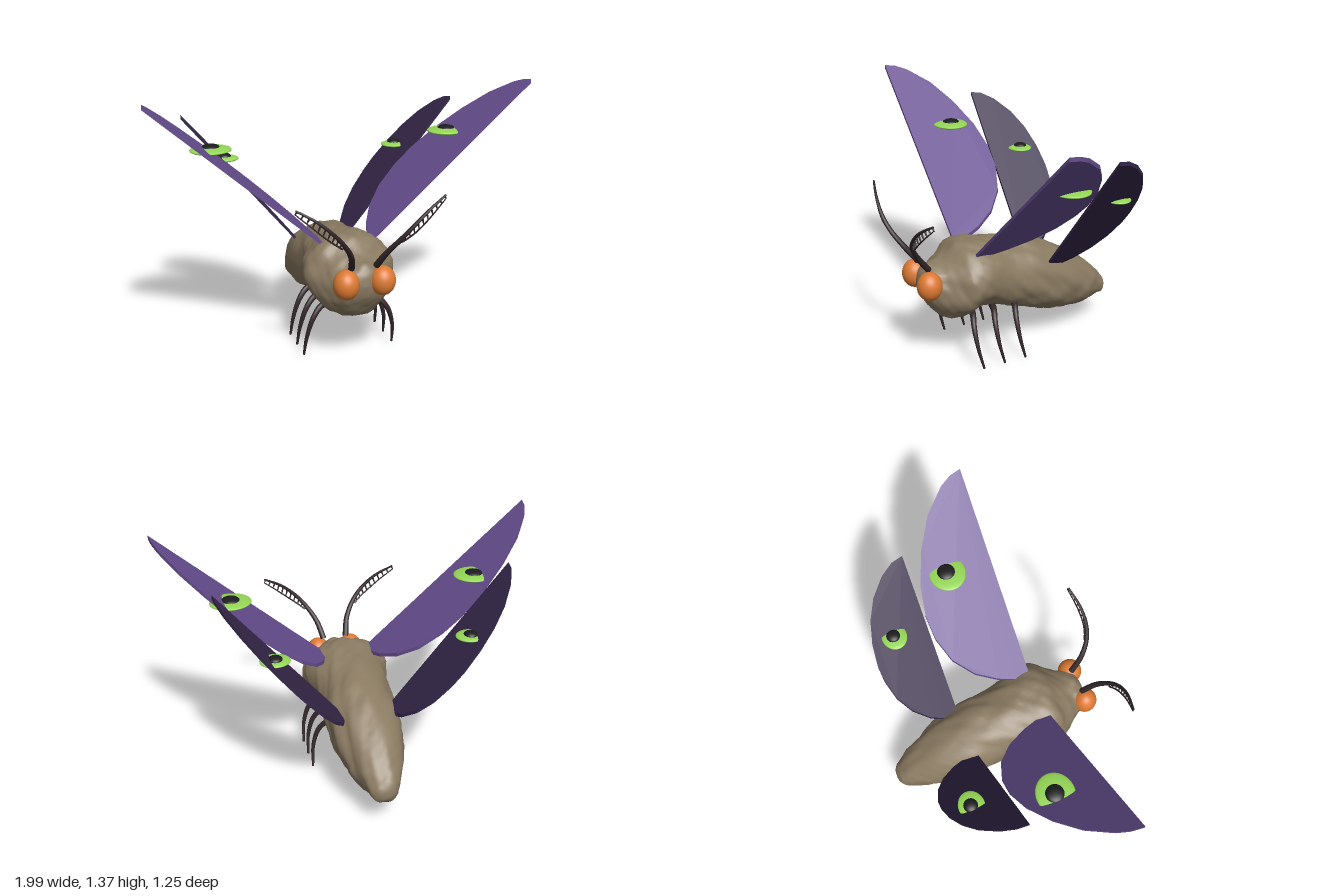
import * as THREE from 'three';

const mat = (name, color, side = THREE.FrontSide) => {
  const m = new THREE.MeshStandardMaterial({ color, side });
  m.name = name;
  return m;
};

// body stations from nose to tail: z, top y, bottom y, half width
const BODY = [
  [0.515, 0.45, 0.45, 0], [0.5, 0.51, 0.38, 0.07], [0.465, 0.545, 0.32, 0.115],
  [0.41, 0.555, 0.255, 0.15], [0.35, 0.59, 0.235, 0.195], [0.29, 0.635, 0.25, 0.235],
  [0.22, 0.645, 0.275, 0.235], [0.12, 0.63, 0.265, 0.205], [0, 0.61, 0.215, 0.195],
  [-0.15, 0.575, 0.165, 0.195], [-0.3, 0.505, 0.137, 0.18], [-0.43, 0.43, 0.13, 0.14],
  [-0.53, 0.35, 0.135, 0.1], [-0.59, 0.285, 0.155, 0.07], [-0.615, 0.245, 0.185, 0.04], [-0.622, 0.21, 0.21, 0],
];

// wing outlines as [x, z] pairs and the slope of the wing plane
const WINGS = [
  { name: 'foreWing', y0: 0.6, slope: 0.886,
    outline: [[0.14, 0.25], [0.13, 0.17], [0.16, 0.08], [0.22, -0.03], [0.31, -0.12], [0.42, -0.165],
      [0.52, -0.17], [0.64, -0.14], [0.77, -0.07], [0.88, 0.02], [0.96, 0.13], [0.985, 0.19], [0.995, 0.25]],
    spot: [0.64, 1.072, 0.01], spotSize: [0.105, 0.016, 0.095], pupil: 0.047 },
  { name: 'hindWing', y0: 0.465, slope: 1.21,
    outline: [[0.14, -0.18], [0.13, -0.26], [0.155, -0.33], [0.21, -0.41], [0.28, -0.465], [0.36, -0.492],
      [0.42, -0.495], [0.5, -0.48], [0.58, -0.445], [0.65, -0.39], [0.71, -0.31], [0.74, -0.24], [0.748, -0.18]],
    spot: [0.492, 0.918, -0.36], spotSize: [0.075, 0.014, 0.066], pupil: 0.036 },
];

// lumpy furry surface offset
function bump(x, y, z) {
  return 0.0035 * (Math.sin(31 * x + 17 * z + 2 * Math.sin(23 * y)) + Math.sin(37 * y - 29 * z + 2 * Math.sin(27 * x)))
    + 0.002 * Math.sin(71 * x + 1) * Math.sin(67 * y) * Math.sin(73 * z + 2) * 2;
}

function bodyGeometry(rings = 80, sides = 56) {
  const spline = new THREE.CatmullRomCurve3(BODY.map(([, t, b, w]) => new THREE.Vector3(w, t, b)), false, 'catmullrom', 0.5);
  const along = new THREE.CatmullRomCurve3(BODY.map(([z]) => new THREE.Vector3(0, 0, z)), false, 'catmullrom', 0.5);
  const pos = [], idx = [];
  for (let i = 0; i <= rings; i++) {
    const s = spline.getPoint(i / rings), z = along.getPoint(i / rings).z;
    const cy = (s.y + s.z) / 2, h = Math.abs(s.y - s.z) / 2, w = Math.max(s.x, 0);
    for (let j = 0; j < sides; j++) {
      const a = (j / sides) * Math.PI * 2, c = Math.cos(a), n = Math.sin(a);
      const x = w * c, y = cy + h * n;
      const d = bump(x, y, z) * Math.min(1, w / 0.06);
      pos.push(x + d * c, y + d * n, z);
      if (i < rings) {
        const k = (j + 1) % sides, p = i * sides, q = p + sides;
        idx.push(p + j, q + j, p + k, p + k, q + j, q + k);
      }
    }
  }
  const g = new THREE.BufferGeometry();
  g.setAttribute('position', new THREE.Float32BufferAttribute(pos, 3));
  g.setIndex(idx);
  g.computeVertexNormals();
  return g;
}

// tube narrowing from r0 to r1
function taperedTube(curve, r0, r1, segs = 24, sides = 10) {
  const g = new THREE.TubeGeometry(curve, segs, 1, sides);
  const p = g.attributes.position, v = new THREE.Vector3();
  for (let i = 0; i < p.count; i++) {
    const t = Math.floor(i / (sides + 1)) / segs, c = curve.getPointAt(t);
    v.fromBufferAttribute(p, i).sub(c).multiplyScalar(r0 + (r1 - r0) * t).add(c);
    p.setXYZ(i, v.x, v.y, v.z);
  }
  return g;
}

// half-disc plate, laid flat and then sheared upwards with distance from the middle
function wingGeometry({ outline, y0, slope }, side) {
  const thick = 0.02;
  const shape = new THREE.Shape(outline.map(([x, z]) => new THREE.Vector2(side * x, -z)));
  const g = new THREE.ExtrudeGeometry(shape, { depth: thick, bevelEnabled: false });
  g.rotateX(-Math.PI / 2);
  const p = g.attributes.position;
  for (let i = 0; i < p.count; i++) {
    p.setY(i, p.getY(i) - thick / 2 + y0 + (Math.abs(p.getX(i)) - 0.14) * slope);
  }
  g.computeVertexNormals();
  return g;
}

export function createModel() {
  const model = new THREE.Group();
  const fur = mat('brown fur', 0x8b7b62);
  const violet = mat('violet wing', 0x684f91);
  const plum = mat('dark plum wing', 0x35274a);
  const green = mat('green spot', 0x94d655);
  const black = mat('black pupil', 0x1c1c1e);
  const orange = mat('orange eye', 0xdd7a33);
  const dark = mat('dark brown limb', 0x33272a, THREE.DoubleSide);

  const add = (parent, name, geo, material) => {
    const m = new THREE.Mesh(geo, material);
    m.name = name;
    parent.add(m);
    return m;
  };
  const ball = new THREE.SphereGeometry(1, 32, 20);
  const ellipsoid = (parent, name, at, size, material) => {
    const m = add(parent, name, ball, material);
    m.position.set(...at);
    m.scale.set(...size);
  };

  add(model, 'body', bodyGeometry(), fur);

  for (const side of [1, -1]) {
    const label = side > 0 ? 'left' : 'right';
    const V = (x, y, z) => new THREE.Vector3(side * x, y, z);

    ellipsoid(model, label + 'Eye', [side * 0.095, 0.467, 0.49], [0.066, 0.076, 0.066], orange);

    // wings with eye spots
    WINGS.forEach((w, i) => {
      const wing = new THREE.Group();
      wing.name = label + (i ? 'HindWing' : 'ForeWing');
      model.add(wing);
      add(wing, w.name, wingGeometry(w, side), i ? plum : violet);
      const [x, y, z] = w.spot;
      ellipsoid(wing, 'wingSpot', [side * x, y, z], w.spotSize, green);
      ellipsoid(wing, 'spotPupil', [side * x, y + 0.01, z - 0.005], [w.pupil, 0.018, w.pupil], black);
    });

    // three curved legs
    [0.26, 0.137, 0.012].forEach((z, i) => {
      const curve = new THREE.CatmullRomCurve3([V(0.08, 0.27, z - 0.01), V(0.15, 0.275, z + 0.015),
        V(0.2, 0.225, z + 0.033), V(0.235, 0.12, z + 0.028), V(0.245, 0.003, z)]);
      add(model, label + 'Leg' + (i + 1), taperedTube(curve, 0.019, 0.006), dark);
    });

    // feathered antenna: stem, lower strand and short barbs
    const antenna = new THREE.Group();
    antenna.name = label + 'Antenna';
    model.add(antenna);
    const stem = new THREE.CatmullRomCurve3([V(0.065, 0.545, 0.48), V(0.09, 0.63, 0.545), V(0.14, 0.71, 0.595),
      V(0.2, 0.78, 0.615), V(0.28, 0.85, 0.61), V(0.375, 0.908, 0.585)]);
    add(antenna, 'antennaStem', taperedTube(stem, 0.017, 0.005, 32, 8), dark);
    const strand = [];
    for (let i = 0; i <= 10; i++) {
      const p = stem.getPointAt(0.4 + i * 0.058);
      const sag = 0.012 + 0.028 * Math.sin((i / 10) * Math.PI);
      const end = p.clone().add(V(0.012, -sag, -0.006));
      strand.push(end);
      add(antenna, 'antennaBarb', taperedTube(new THREE.LineCurve3(p, end), 0.006, 0.003, 2, 5), dark);
    }
    add(antenna, 'antennaStrand', taperedTube(new THREE.CatmullRomCurve3(strand), 0.005, 0.003, 24, 5), dark);
  }
  return model;
}
